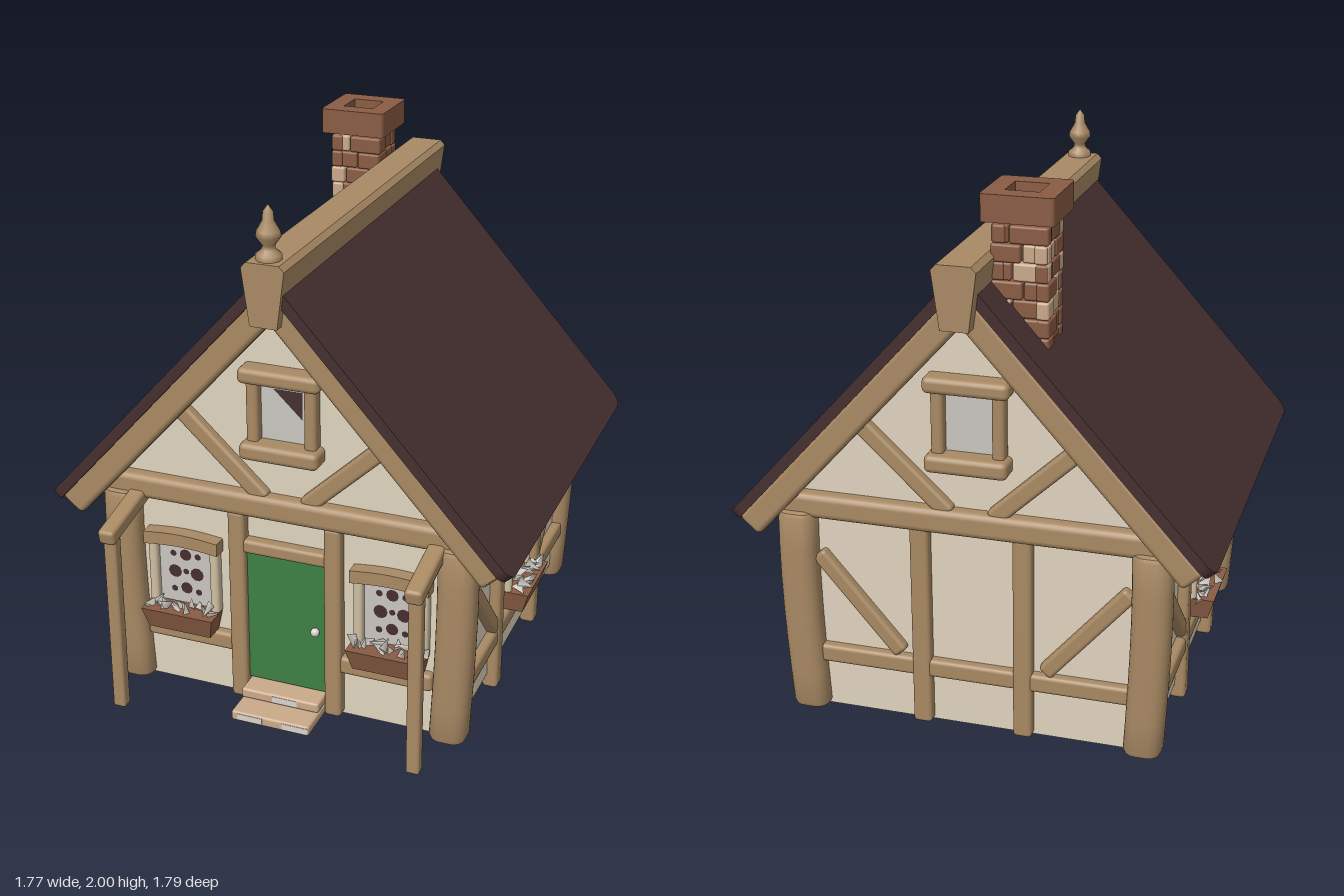
import * as THREE from 'three';
import { RoundedBoxGeometry } from 'three/addons/geometries/RoundedBoxGeometry.js';
import { toCreasedNormals } from 'three/addons/utils/BufferGeometryUtils.js';

const material = (name, color, side = THREE.FrontSide) => {
  const m = new THREE.MeshStandardMaterial({ color, side });
  m.name = name;
  return m;
};
const plaster = material('plaster', 0xdfd3be);
const wood = material('wood', 0xa88963);
const paleWood = material('paleWood', 0xcfc0a2);
const roofing = material('roofing', 0x452e2e);
const brick = material('brick', 0x8a5c44);
const tan = material('tanStone', 0xc9a98a);
const green = material('doorGreen', 0x3d8044);
const glass = material('glass', 0xc9c6c0);
const white = material('whitePetal', 0xd9d5cd, THREE.DoubleSide);

let seed = 7;
const rand = () => (seed = (seed * 16807) % 2147483647) / 2147483647;

function add(parent, name, geo, mat, x = 0, y = 0, z = 0, rz = 0) {
  const mesh = new THREE.Mesh(geo, mat);
  mesh.name = name;
  mesh.position.set(x, y, z);
  mesh.rotation.z = rz;
  parent.add(mesh);
  return mesh;
}
function group(parent, name, x = 0, y = 0, z = 0, ry = 0) {
  const g = new THREE.Group();
  g.name = name;
  g.position.set(x, y, z);
  g.rotation.y = ry;
  parent.add(g);
  return g;
}
const rounded = (w, h, d, r = 0.015) => new RoundedBoxGeometry(w, h, d, 2, r);
const box = (w, h, d) => new THREE.BoxGeometry(w, h, d);

// Beam lying in a wall plane between two points
function brace(parent, x1, y1, x2, y2, width = 0.06) {
  add(parent, 'brace', rounded(Math.hypot(x2 - x1, y2 - y1), width, 0.05), wood,
    (x1 + x2) / 2, (y1 + y2) / 2, 0.01, Math.atan2(y2 - y1, x2 - x1));
}

function bend(geo, rule) {
  const p = geo.attributes.position;
  const v = new THREE.Vector3();
  for (let i = 0; i < p.count; i++) {
    v.fromBufferAttribute(p, i);
    rule(v);
    p.setXYZ(i, v.x, v.y, v.z);
  }
  geo.computeVertexNormals();
  return geo;
}

function roundRect(w, h, r) {
  const s = new THREE.Shape();
  s.absarc(w / 2 - r, h / 2 - r, r, 0, Math.PI / 2);
  s.absarc(-w / 2 + r, h / 2 - r, r, Math.PI / 2, Math.PI);
  s.absarc(-w / 2 + r, -h / 2 + r, r, Math.PI, Math.PI * 1.5);
  s.absarc(w / 2 - r, -h / 2 + r, r, Math.PI * 1.5, Math.PI * 2);
  s.closePath();
  return s;
}

// Ground-floor window with planter
function flowerWindow(parent, x, dotted) {
  const g = group(parent, 'flowerWindow', x, 0, 0);
  add(g, 'pane', box(0.24, 0.25, 0.008), glass, 0, 0.47, 0.006);
  for (const s of [-1, 1]) add(g, 'jamb', rounded(0.035, 0.27, 0.05), paleWood, s * 0.125, 0.465, 0.015);
  const lintel = bend(new THREE.BoxGeometry(0.3, 0.05, 0.07, 8, 1, 1), v => { v.y += 0.012 * Math.cos(v.x * 10); });
  add(g, 'lintel', toCreasedNormals(lintel, 0.6), wood, 0, 0.618, 0.02);
  if (dotted) {
    for (const [dx, dy, r] of [[0, 0.55, 0.024], [-0.045, 0.475, 0.027], [0.045, 0.475, 0.027], [0, 0.41, 0.024],
      [-0.05, 0.55, 0.013], [0.05, 0.55, 0.013], [0, 0.48, 0.012], [-0.05, 0.4, 0.013], [0.05, 0.4, 0.013]])
      add(g, 'paneDot', new THREE.CircleGeometry(r, 10), roofing, dx, dy, 0.012);
  }
  const planter = bend(box(0.29, 0.085, 0.1), v => { if (v.y < 0) { v.x *= 0.87; if (v.z > 0) v.z -= 0.025; } });
  add(g, 'planter', toCreasedNormals(planter, 0.4), brick, 0, 0.303, 0.06);
  for (let i = 0; i < 14; i++) {
    const leaf = add(g, 'blossom', new THREE.ConeGeometry(0.03, 0.06, 3), white,
      (i / 13 - 0.5) * 0.25, 0.355 + rand() * 0.015, 0.035 + rand() * 0.055);
    leaf.rotation.set(rand() * 1.6, rand() * 6, rand() * 2.4 - 1.2);
    leaf.scale.z = 0.5;
  }
}

// Gable window and the two slanting braces
function gable(parent, front) {
  const g = group(parent, 'gableWindow');
  add(g, 'pane', box(0.2, 0.25, 0.008), glass, 0, 1.2, 0.006);
  for (const s of [-1, 1]) {
    add(g, 'jamb', rounded(0.045, 0.25, 0.06), wood, s * 0.11, 1.2, 0.02);
    brace(g, s * 0.4, 1.15, s * 0.08, 0.85, 0.065);
  }
  add(g, 'lintel', rounded(0.31, 0.06, 0.09, 0.02), wood, 0, 1.34, 0.03);
  add(g, 'sill', rounded(0.3, 0.065, 0.1, 0.02), wood, 0, 1.055, 0.035);
  if (front) {
    const t = new THREE.Shape([new THREE.Vector2(-0.04, 1.285), new THREE.Vector2(0.07, 1.18), new THREE.Vector2(0.07, 1.285)]);
    add(g, 'darkPane', new THREE.ShapeGeometry(t), roofing, 0, 0, 0.012);
  }
  add(parent, 'crossBeam', rounded(1.42, 0.095, 0.1, 0.025), wood, 0, 0.822, 0);
}

function chimney(parent) {
  const g = group(parent, 'chimney', -0.163, 0, -0.6);
  for (let row = 0; row < 7; row++) {
    for (let k = 0; k < 4; k++) {
      const side = group(g, 'brickCourse', 0, 1.475 + row * 0.064, 0, k * Math.PI / 2);
      const cut = (row % 2 ? 0.09 : 0.055) + rand() * 0.02;
      const out = rand() * 0.012 - 0.004;
      add(side, 'brick', rounded(cut, 0.062, 0.045, 0.008), rand() < 0.25 ? tan : brick, -0.1 + cut / 2, 0, 0.075 + out);
      add(side, 'brick', rounded(0.195 - cut, 0.062, 0.045, 0.008), rand() < 0.2 ? tan : brick, 0.1 - (0.195 - cut) / 2, 0, 0.075 - out * 0.5);
    }
  }
  const cap = roundRect(0.255, 0.265, 0.015);
  cap.holes.push(new THREE.Path([[-0.06, -0.06], [-0.06, 0.06], [0.06, 0.06], [0.06, -0.06]].map(p => new THREE.Vector2(...p))));
  const capGeo = new THREE.ExtrudeGeometry(cap, { depth: 0.095, bevelEnabled: false }).rotateX(-Math.PI / 2);
  add(g, 'chimneyCap', capGeo, brick, 0, 1.905, 0);
  add(g, 'flueFloor', box(0.14, 0.01, 0.14), tan, 0, 1.84, 0);
}

function roof(parent) {
  for (const s of [1, -1]) {
    const turn = group(parent, 'roofSide', 0, 1.767, -0.0475, s > 0 ? 0 : Math.PI);
    const g = group(turn, 'roofSlope');
    g.rotation.z = -Math.atan(1.11);
    const slab = new THREE.ExtrudeGeometry(roundRect(1.323, 1.6, 0.05), { depth: 0.04, bevelEnabled: false, curveSegments: 4 });
    add(g, 'roofSlab', slab.rotateX(-Math.PI / 2), roofing, 0.6615, -0.04, 0);
    add(g, 'roofBoards', box(1.27, 0.06, 1.56), wood, 0.655, -0.07, 0);
    for (let i = 0; i < 12; i++)
      add(g, 'eaveTile', box(0.05, 0.02, 0.085), roofing, 1.29, -0.045, -0.715 + i * 0.13);
    for (const e of [-1, 1]) {
      const z = e > 0 ? 0.735 : -0.755;
      add(g, 'bargeBoard', rounded(1.27, 0.1, 0.09, 0.02), wood, 0.665, -0.082, s * z);
    }
  }
  // Ridge beam and finial
  const ridge = new THREE.Shape([[-0.05, 1.575], [0.05, 1.575], [0.078, 1.78], [0.06, 1.8], [-0.06, 1.8], [-0.078, 1.78]]
    .map(p => new THREE.Vector2(...p)));
  add(parent, 'ridgeBeam', new THREE.ExtrudeGeometry(ridge, { depth: 1.67, bevelEnabled: false }), wood, 0, 0, -0.9);
  const profile = [[0.045, 0], [0.045, 0.02], [0.025, 0.035], [0.022, 0.05], [0.044, 0.08], [0.04, 0.1], [0.02, 0.135], [0.018, 0.165], [0, 0.19]];
  add(parent, 'finial', new THREE.LatheGeometry(profile.map(p => new THREE.Vector2(...p)), 10), wood, 0, 1.8, 0.712);
}

export function createModel() {
  const model = new THREE.Group();
  model.name = 'cottage';

  // Plastered body with gables
  const body = new THREE.Shape([[-0.64, 0], [0.64, 0], [0.665, 0.06], [0.665, 0.87], [0, 1.61], [-0.665, 0.87], [-0.665, 0.06]]
    .map(p => new THREE.Vector2(...p)));
  add(model, 'walls', new THREE.ExtrudeGeometry(body, { depth: 1.33, bevelEnabled: false }), plaster, 0, 0, -0.735);

  // Bulging corner posts
  for (const sx of [-1, 1]) for (const z of [0.595, -0.735]) {
    const geo = new THREE.ExtrudeGeometry(roundRect(0.1, 0.09, 0.03),
      { depth: 0.76, steps: 6, bevelThickness: 0.02, bevelSize: 0.02, bevelSegments: 2, curveSegments: 3 });
    geo.rotateX(-Math.PI / 2);
    bend(geo, v => {
      const b = 0.022 * Math.sin(Math.min(1, Math.max(0, v.y / 0.9)) * Math.PI * 0.75);
      v.x += sx * b;
      v.z += Math.sign(z) * b * 0.5;
    });
    add(model, 'cornerPost', toCreasedNormals(geo, 0.7), wood, sx * 0.632, 0.02, z);
  }

  // Front wall
  const front = group(model, 'frontWall', 0, 0, 0.595);
  gable(front, true);
  for (const s of [-1, 1]) {
    add(front, 'doorPost', rounded(0.065, 0.785, 0.07), wood, s * 0.188, 0.395, 0.01);
    add(front, 'rail', rounded(0.36, 0.07, 0.05), wood, s * 0.39, 0.225, 0.01);
    flowerWindow(front, s * 0.41, true);
  }
  add(front, 'doorLintel', rounded(0.33, 0.055, 0.06), wood, 0, 0.65, 0.012);
  add(front, 'door', box(0.31, 0.54, 0.02), green, 0, 0.355, 0.006);
  add(front, 'doorKnob', new THREE.SphereGeometry(0.017, 12, 8), white, 0.117, 0.343, 0.03);
  add(front, 'lowerStep', rounded(0.31, 0.04, 0.2, 0.01), tan, 0, 0.02, 0.095);
  add(front, 'upperStep', rounded(0.31, 0.04, 0.1, 0.01), tan, 0, 0.06, 0.05);
  for (const [x, y, z] of [[-0.08, 0.02, 0.193], [0.1, 0.02, 0.193], [0.02, 0.06, 0.098]])
    add(front, 'stepStone', box(0.1, 0.025, 0.006), white, x, y, z);

  // Back wall
  const back = group(model, 'backWall', 0, 0, -0.735, Math.PI);
  gable(back, false);
  add(back, 'rail', rounded(1.25, 0.07, 0.05), wood, 0, 0.225, 0.01);
  for (const s of [-1, 1]) {
    add(back, 'stud', rounded(0.07, 0.79, 0.06), wood, s * 0.19, 0.395, 0.01);
    brace(back, s * 0.58, 0.63, s * 0.27, 0.27);
  }

  // Side walls, mirrored
  for (const s of [1, -1]) {
    const wall = group(model, 'sideWall', s * 0.665, 0, 0, s * Math.PI / 2);
    add(wall, 'rail', rounded(1.3, 0.07, 0.05), wood, s * 0.07, 0.225, 0.01);
    add(wall, 'topPlate', rounded(1.3, 0.08, 0.05), wood, s * 0.07, 0.79, 0.01);
    for (const x of [-0.203, 0.313]) add(wall, 'stud', rounded(0.072, 0.79, 0.06), wood, s * x, 0.395, 0.01);
    brace(wall, s * -0.55, 0.62, s * -0.22, 0.26);
    brace(wall, s * 0.68, 0.62, s * 0.3, 0.26);
    flowerWindow(wall, s * 0.05, false);
  }

  // Porch posts and their brackets
  for (const s of [-1, 1]) {
    add(model, 'porchPost', rounded(0.05, 0.73, 0.047, 0.01), wood, s * 0.582, 0.365, 0.843);
    const arm = add(model, 'porchArm', rounded(0.065, 0.06, 0.36), wood, s * 0.582, 0.763, 0.714);
    arm.rotation.x = 0.21;
  }

  roof(model);
  chimney(model);
  return model;
}
